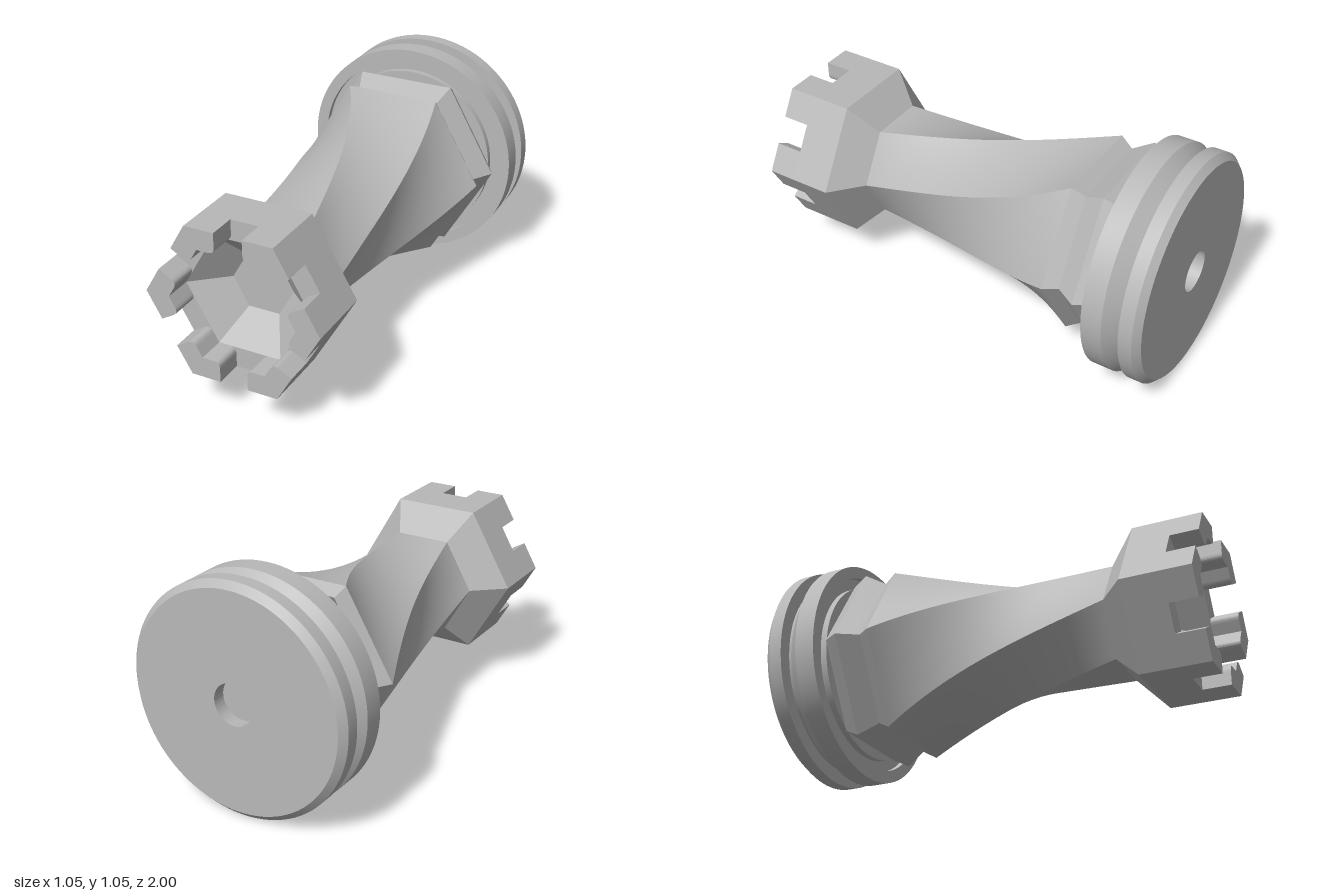
import * as THREE from 'three';
import { toCreasedNormals } from 'three/addons/utils/BufferGeometryUtils.js';

const corner = (k, r, twist = 0) => {
  const a = k * Math.PI / 3 + twist;
  return new THREE.Vector2(Math.cos(a) * r, Math.sin(a) * r);
};

// Six-sided band along z; each side is its own smooth strip, so the six edges stay sharp
function hexBand(z0, z1, radius, twist = () => 0, rows = 1, cols = 1) {
  const pos = [], idx = [];
  for (let k = 0; k < 6; k++) {
    const start = pos.length / 3;
    for (let i = 0; i <= rows; i++) {
      const t = i / rows;
      const a = corner(k, radius(t), twist(t)), b = corner(k + 1, radius(t), twist(t));
      for (let j = 0; j <= cols; j++) {
        const p = a.clone().lerp(b, j / cols);
        pos.push(p.x, p.y, z0 + (z1 - z0) * t);
      }
    }
    for (let i = 0; i < rows; i++) for (let j = 0; j < cols; j++) {
      const a = start + i * (cols + 1) + j, c = a + cols + 1;
      idx.push(a, a + 1, c + 1, a, c + 1, c);
    }
  }
  const g = new THREE.BufferGeometry();
  g.setAttribute('position', new THREE.Float32BufferAttribute(pos, 3));
  g.setIndex(idx);
  g.computeVertexNormals();
  return g;
}

const hexPoints = r => [0, 1, 2, 3, 4, 5].map(k => corner(k, r));

export function createModel() {
  const model = new THREE.Group();
  const grey = new THREE.MeshStandardMaterial({ color: 0xb8b8b8 });
  grey.name = 'grey';
  const add = (name, geometry, parent = model) => {
    const m = new THREE.Mesh(geometry, grey);
    m.name = name;
    parent.add(m);
    return m;
  };
  const bands = (name, sections) => {
    const g = new THREE.Group();
    g.name = name;
    for (let i = 0; i + 1 < sections.length; i++) {
      const [z0, r0] = sections[i], [z1, r1] = sections[i + 1];
      add(name + 'Band', hexBand(z0, z1, t => r0 + (r1 - r0) * t), g);
    }
    model.add(g);
  };

  // Round grooved base with a socket in the back and a ring groove in front
  const profile = [
    [0, -0.94], [0.095, -0.94], [0.095, -1], [0.497, -1], [0.527, -0.97], [0.527, -0.908],
    [0.46, -0.908], [0.46, -0.897], [0.527, -0.83], [0.527, -0.735],
    [0.47, -0.735], [0.47, -0.765], [0.418, -0.765], [0.418, -0.735], [0, -0.735],
  ].map(([x, y]) => new THREE.Vector2(x, y));
  const base = new THREE.LatheGeometry(profile, 96);
  base.rotateX(Math.PI / 2);
  add('base', toCreasedNormals(base, 0.4));

  // Hexagonal collar
  bands('collar', [[-0.735, 0.425], [-0.66, 0.468], [-0.565, 0.41], [-0.505, 0.45]]);

  // Twisted stem, one sixth of a turn
  add('stem', hexBand(-0.505, 0.555,
    t => 0.26 + 0.19 * Math.pow(1 - t, 2.2), t => -t * Math.PI / 3, 48, 8));

  // Flared head and its tapered cavity
  bands('head', [[0.555, 0.26], [0.68, 0.405], [0.87, 0.405]]);
  bands('cavity', [[0.87, 0.295], [0.74, 0.145]]);
  add('cavityFloor', new THREE.ShapeGeometry(new THREE.Shape(hexPoints(0.145)))).position.z = 0.74;
  const rim = new THREE.Shape(hexPoints(0.405));
  rim.holes.push(new THREE.Path(hexPoints(0.295)));
  add('rim', new THREE.ShapeGeometry(rim)).position.z = 0.87;

  // Battlements: one bent block on each corner, rounded beside the notches
  const flat = Math.cos(Math.PI / 6), outer = 0.405 * flat, inner = 0.295 * flat;
  const at = (n, u, side) => [n * flat + u * 0.5, side * (n * 0.5 - u * flat)];
  const gap = 0.065, round = 0.03;
  const block = new THREE.Shape();
  block.moveTo(0.405, 0);
  block.lineTo(...at(outer, gap, 1));
  block.lineTo(...at(inner + round, gap, 1));
  block.quadraticCurveTo(...at(inner, gap, 1), ...at(inner, gap + round, 1));
  block.lineTo(0.295, 0);
  block.lineTo(...at(inner, gap + round, -1));
  block.quadraticCurveTo(...at(inner, gap, -1), ...at(inner + round, gap, -1));
  block.lineTo(...at(outer, gap, -1));
  block.closePath();
  const blockGeometry = new THREE.ExtrudeGeometry(block, { depth: 0.13, bevelEnabled: false, curveSegments: 6 });
  for (let k = 0; k < 6; k++) {
    const m = add('battlement', blockGeometry);
    m.position.z = 0.87;
    m.rotation.z = k * Math.PI / 3;
  }

  // Lift the lying piece so the base rests on the ground
  model.position.y = 0.527;
  const root = new THREE.Group();
  root.name = 'towerPiece';
  root.add(model);
  return root;
}
